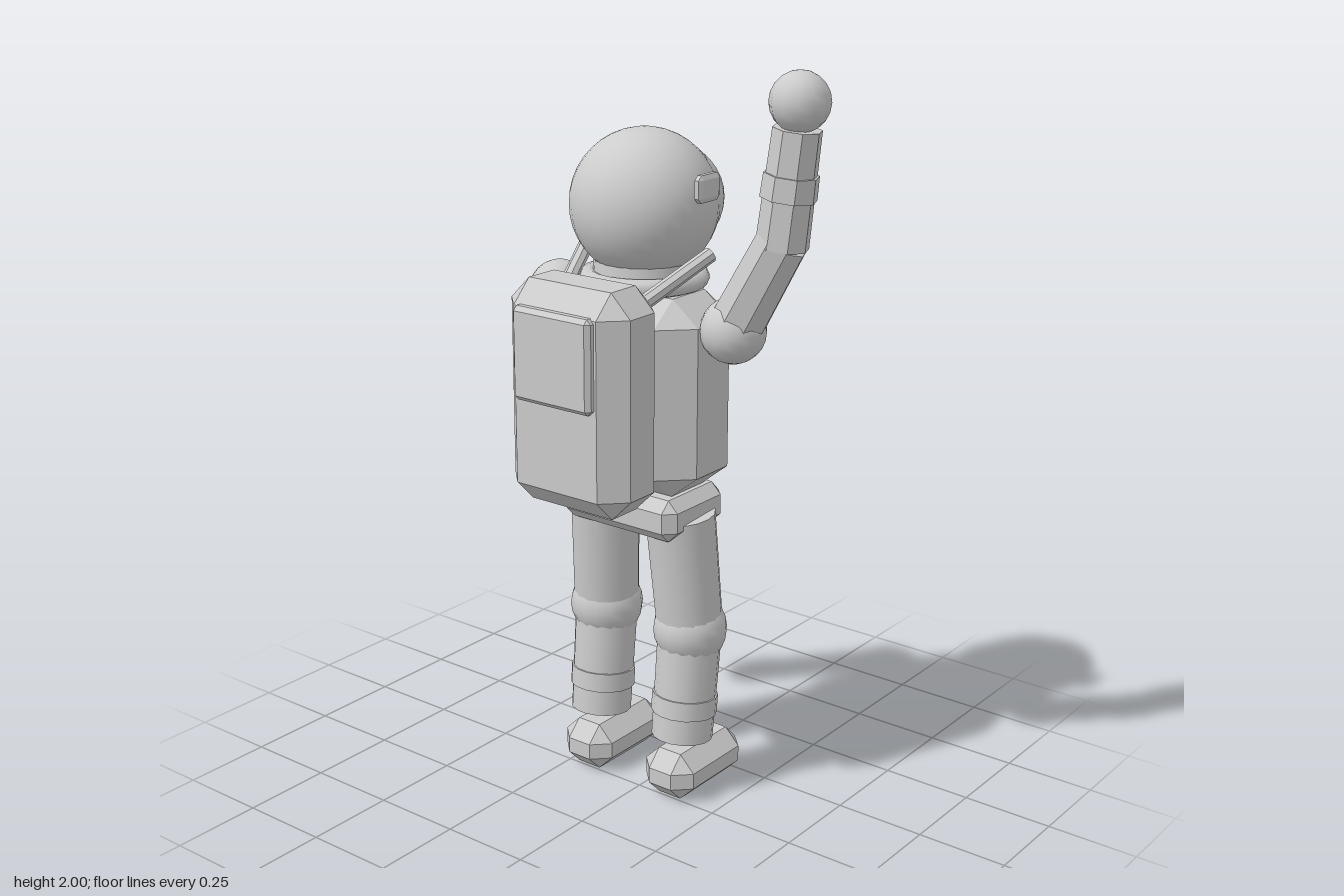
import * as THREE from 'three';
import { ConvexGeometry } from 'three/addons/geometries/ConvexGeometry.js';

const MID = -0.045; // x of the body's plane of symmetry

export function createModel() {
  const model = new THREE.Group();
  model.name = 'astronaut';
  const suitGrey = new THREE.MeshStandardMaterial({ color: 0xcccccc });
  suitGrey.name = 'suit grey';

  const add = (name, geometry, x = 0, y = 0, z = 0) => {
    const mesh = new THREE.Mesh(geometry, suitGrey);
    mesh.name = name;
    mesh.position.set(x, y, z);
    model.add(mesh);
    return mesh;
  };

  // Box with all edges and corners cut off, bevel given per axis
  const bevelBox = (name, w, h, d, [bx, by, bz], x, y, z) => {
    const pts = [];
    for (const sx of [-1, 1]) for (const sy of [-1, 1]) for (const sz of [-1, 1]) {
      const X = w / 2, Y = h / 2, Z = d / 2;
      pts.push(
        new THREE.Vector3(sx * X, sy * (Y - by), sz * (Z - bz)),
        new THREE.Vector3(sx * (X - bx), sy * Y, sz * (Z - bz)),
        new THREE.Vector3(sx * (X - bx), sy * (Y - by), sz * Z));
    }
    return add(name, new ConvexGeometry(pts), x, y, z);
  };

  const ball = (name, r, p, w = 16, h = 12) => add(name, new THREE.SphereGeometry(r, w, h), ...p);

  // Cylinder between two points; faceted when flat is set
  const limb = (name, a, b, rA, rB, sides, flat) => {
    const A = new THREE.Vector3(...a), B = new THREE.Vector3(...b);
    const dir = B.clone().sub(A);
    let g = new THREE.CylinderGeometry(rB, rA, dir.length(), sides);
    if (flat) {
      g = g.toNonIndexed();
      g.computeVertexNormals();
    }
    const mesh = add(name, g, ...A.clone().add(B).multiplyScalar(0.5).toArray());
    mesh.quaternion.setFromUnitVectors(new THREE.Vector3(0, 1, 0), dir.normalize());
    return mesh;
  };
  const mix = (a, b, t) => a.map((v, i) => v + (b[i] - v) * t);

  // Torso, belt and backpack
  bevelBox('torso', 0.455, 0.53, 0.295, [0.08, 0.065, 0.08], MID, 1.145, -0.073);
  bevelBox('belt', 0.38, 0.115, 0.25, [0.03, 0.03, 0.03], MID, 0.822, -0.07);
  bevelBox('backpack', 0.384, 0.59, 0.215, [0.06, 0.06, 0.06], MID, 1.175, 0.175);
  bevelBox('backpackPanel', 0.25, 0.245, 0.04, [0.012, 0.012, 0.012], MID, 1.292, 0.285);

  // Chest control unit
  bevelBox('chestPanel', 0.25, 0.165, 0.05, [0.025, 0.025, 0.015], MID, 1.172, -0.232);
  for (const i of [-1, 0, 1])
    bevelBox('chestButton', 0.04, 0.042, 0.035, [0.008, 0.008, 0.008], MID + i * 0.07, 1.212, -0.26);
  bevelBox('chestBar', 0.17, 0.04, 0.035, [0.008, 0.008, 0.008], MID, 1.132, -0.26);

  // Neck, collar, helmet and visor
  add('neck', new THREE.CylinderGeometry(0.13, 0.14, 0.12, 20), MID, 1.44, -0.078);
  add('collar', new THREE.TorusGeometry(0.145, 0.025, 8, 24).rotateX(Math.PI / 2), MID, 1.435, -0.078);
  ball('helmet', 0.194, [MID, 1.626, -0.078], 32, 20);
  add('visor', new THREE.SphereGeometry(1, 28, 18).scale(0.165, 0.15, 0.158), MID, 1.63, -0.15);
  bevelBox('helmetLamp', 0.024, 0.07, 0.09, [0.006, 0.012, 0.012], 0.155, 1.69, -0.075);

  // Air hoses, legs and boots
  for (const s of [-1, 1]) {
    limb('airHose', [MID + s * 0.12, 1.405, 0.11], [MID + s * 0.195, 1.515, -0.1], 0.02, 0.02, 8, true);

    const hip = [MID + s * 0.128, 0.81, -0.07];
    const knee = [MID + s * 0.145, 0.475, -0.095];
    const ankle = [MID + s * 0.143, 0.165, -0.065];
    limb('thigh', hip, knee, 0.094, 0.09, 16);
    ball('knee', 0.101, knee);
    limb('shin', knee, ankle, 0.087, 0.084, 16);
    limb('shinCuff', mix(knee, ankle, 0.6), mix(knee, ankle, 0.77), 0.09, 0.09, 16);
    bevelBox('boot', 0.163, 0.135, 0.3, [0.045, 0.045, 0.045], MID + s * 0.143, 0.0675, -0.115);
  }

  // Arms: one lowered, one raised to wave
  const arm = (shoulder, elbow, wrist, hand) => {
    ball('shoulder', 0.086, shoulder);
    limb('upperArm', shoulder, elbow, 0.074, 0.068, 8, true);
    limb('forearm', mix(elbow, wrist, -0.06), wrist, 0.068, 0.062, 8, true);
    limb('forearmCuff', mix(elbow, wrist, 0.38), mix(elbow, wrist, 0.6), 0.072, 0.07, 8, true);
    ball('hand', 0.076, hand, 12, 10);
  };
  arm([-0.33, 1.35, -0.075], [-0.412, 1.04, -0.1], [-0.415, 0.81, -0.185], [-0.415, 0.787, -0.2]);
  arm([0.24, 1.337, -0.077], [0.375, 1.585, -0.088], [0.405, 1.86, -0.095], [0.41, 1.924, -0.095]);

  return model;
}
